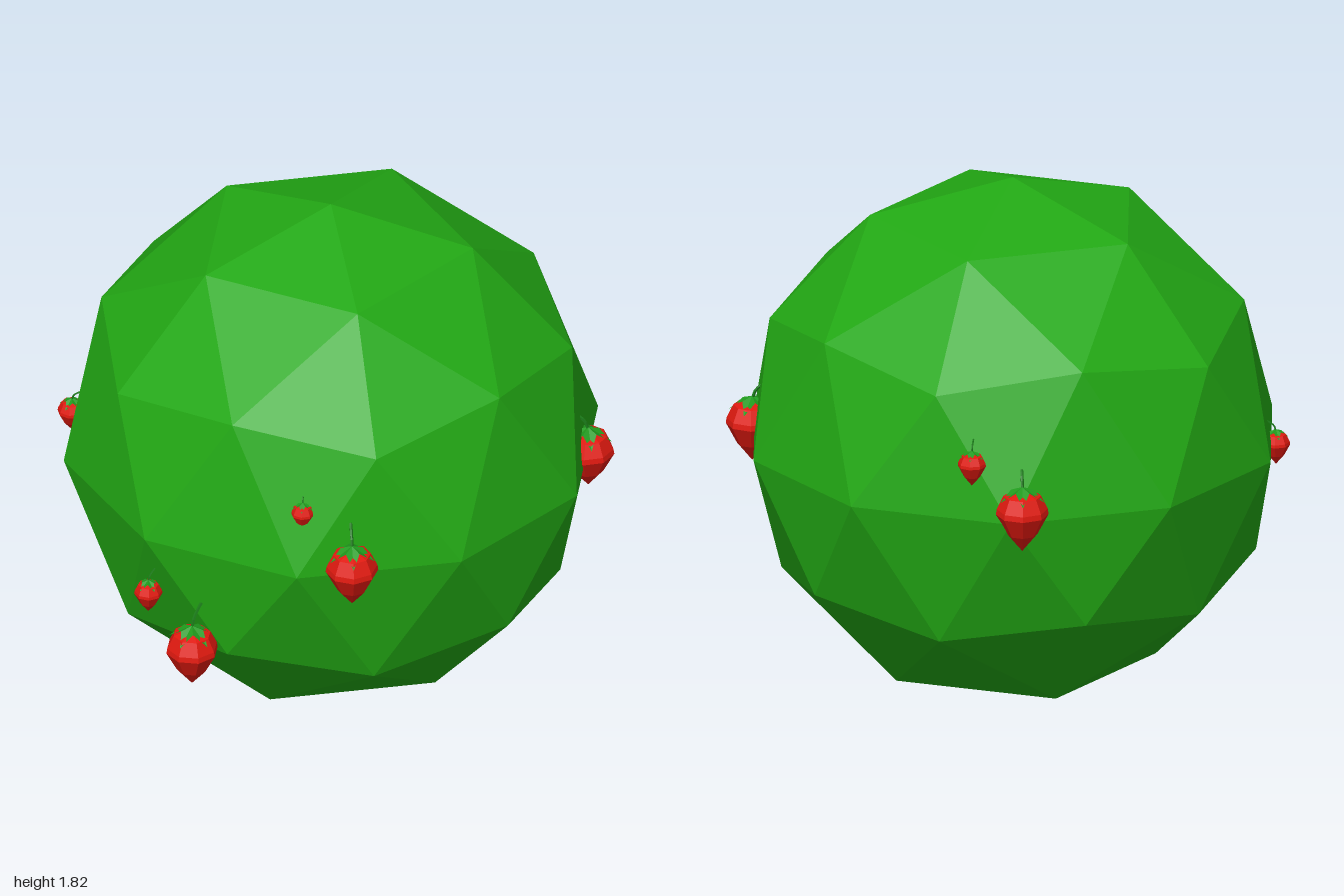
import * as THREE from 'three';

const CENTER_Y = 0.838, CENTER_Z = -0.035, RADIUS = 0.977;

const flat = (color, side = THREE.FrontSide) =>
  new THREE.MeshStandardMaterial({ color, flatShading: true, side });
const bushMat = flat(0x22a814);
const berryMat = flat(0xe0190f);
const leafMat = flat(0x1f9a1c, THREE.DoubleSide);
const stemMat = flat(0x1a7a18);

function mesh(name, geometry, material) {
  const m = new THREE.Mesh(geometry, material);
  m.name = name;
  return m;
}

// Faceted ball standing on a vertex, with its lowest cap pressed flat on the ground
function bushGeometry() {
  const g = new THREE.IcosahedronGeometry(RADIUS, 1);
  g.rotateZ(Math.atan2(1, (1 + Math.sqrt(5)) / 2));
  g.rotateY(THREE.MathUtils.degToRad(9.3));
  g.translate(0, CENTER_Y, CENTER_Z);
  const p = g.attributes.position;
  for (let i = 0; i < p.count; i++) if (p.getY(i) < 0.02) p.setY(i, 0);
  g.computeVertexNormals();
  return g;
}

// Pointed berry body, origin at its widest ring
function berryGeometry() {
  const profile = [[0, -0.14], [0.055, -0.075], [0.095, 0], [0.092, 0.02], [0.068, 0.07], [0, 0.092]];
  return new THREE.LatheGeometry(profile.map(([r, y]) => new THREE.Vector2(r, y)), 8);
}

// Star of five leaves draped over the top of the berry
function leafGeometry() {
  const points = [0, 0.104, 0], index = [];
  for (let i = 0; i < 10; i++) {
    const a = (i * Math.PI) / 5, tip = i % 2 === 0;
    const r = tip ? 0.084 : 0.042, y = tip ? 0.052 : 0.09;
    points.push(r * Math.sin(a), y, r * Math.cos(a));
    index.push(0, 1 + i, 1 + ((i + 1) % 10));
  }
  const g = new THREE.BufferGeometry();
  g.setAttribute('position', new THREE.Float32BufferAttribute(points, 3));
  g.setIndex(index);
  g.computeVertexNormals();
  return g;
}

// Thin stem arching back toward the bush
function stemGeometry() {
  const path = new THREE.CatmullRomCurve3([
    new THREE.Vector3(0, 0.09, 0),
    new THREE.Vector3(0, 0.13, -0.015),
    new THREE.Vector3(0, 0.165, -0.065),
  ]);
  return new THREE.TubeGeometry(path, 6, 0.006, 5);
}

export function createModel() {
  const model = new THREE.Group();
  model.name = 'berryBush';
  model.add(mesh('bush', bushGeometry(), bushMat));

  const body = berryGeometry(), leaves = leafGeometry(), stem = stemGeometry();

  // x, y, z, scale of each berry
  const berries = [
    [-0.25, 0.87, 0.9, 1],
    [0.82, 0.86, 0.42, 1],
    [-0.75, 0.45, 0.59, 1],
    [0.39, 0.87, -0.905, 1],
    [-0.86, 0.62, 0.43, 0.54],
    [-0.39, 1.06, 0.765, 0.45],
    [0.54, 1.045, -0.8, 0.54],
    [-0.82, 0.82, -0.51, 0.54],
  ];
  for (const [x, y, z, s] of berries) {
    const berry = new THREE.Group();
    berry.name = 'berry';
    berry.add(
      mesh('berryBody', body, berryMat),
      mesh('berryLeaves', leaves, leafMat),
      mesh('berryStem', stem, stemMat),
    );
    berry.position.set(x, y, z);
    berry.rotation.y = Math.atan2(x, z - CENTER_Z); // local +z faces away from the bush
    berry.scale.setScalar(s);
    model.add(berry);
  }
  return model;
}
